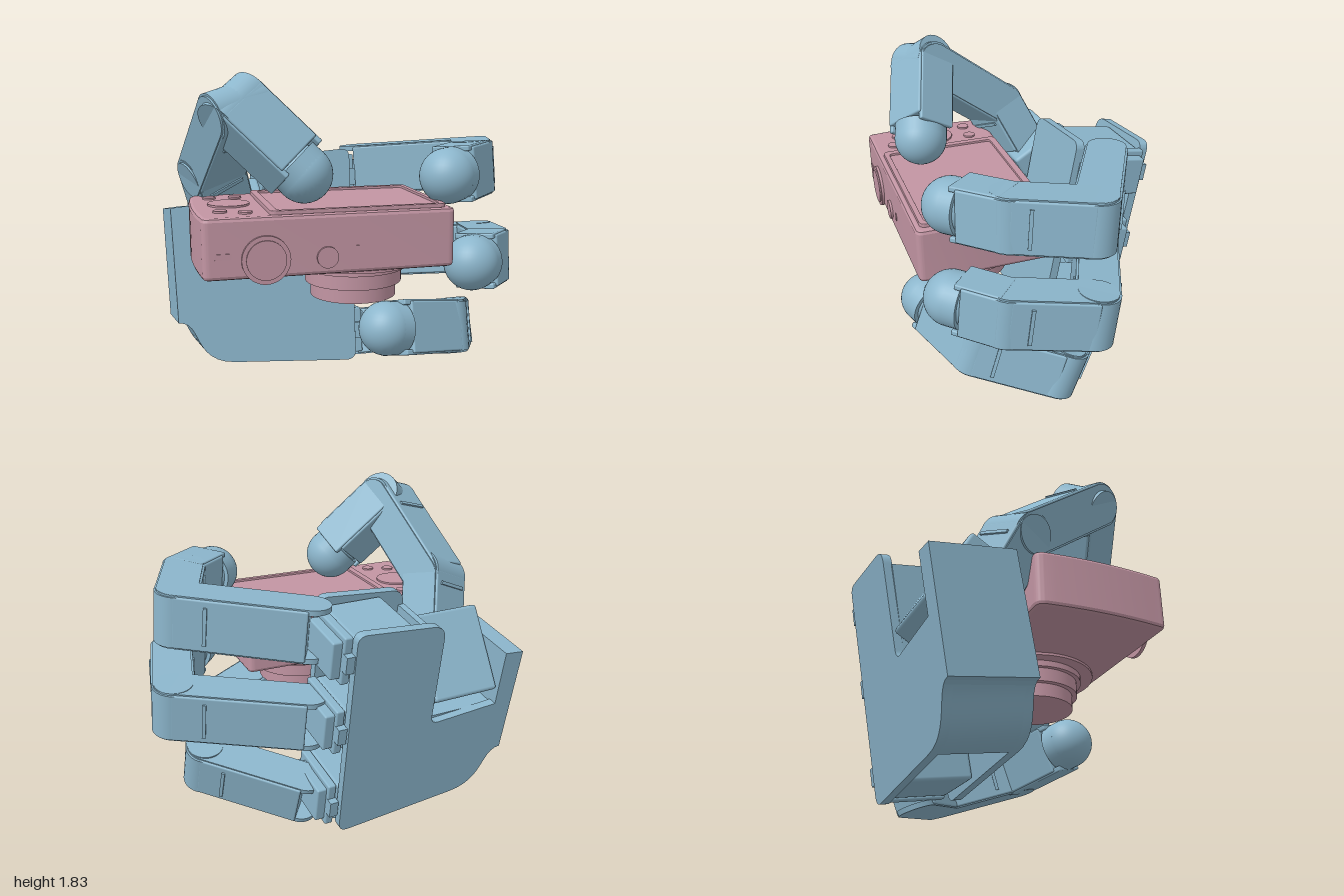
import * as THREE from 'three';
import { toCreasedNormals } from 'three/addons/utils/BufferGeometryUtils.js';
import { RoundedBoxGeometry } from 'three/addons/geometries/RoundedBoxGeometry.js';

const blue = new THREE.MeshStandardMaterial({ color: 0x8cb6cc });
const pink = new THREE.MeshStandardMaterial({ color: 0xc295a3 });
const V = (x, y, z) => new THREE.Vector3(x, y, z);

function add(parent, name, geo, mat, x = 0, y = 0, z = 0) {
  const m = new THREE.Mesh(geo, mat);
  m.name = name;
  m.position.set(x, y, z);
  parent.add(m);
  return m;
}

function extrude(shape, depth, bevel = 0) {
  const g = new THREE.ExtrudeGeometry(shape, {
    depth: depth - 2 * bevel, bevelEnabled: bevel > 0, bevelSize: bevel, bevelOffset: -bevel,
    bevelThickness: bevel, bevelSegments: 2, curveSegments: 12,
  });
  g.translate(0, 0, bevel);
  return toCreasedNormals(g, 0.3);
}

// Bar with round ends from (0,0) to (len,0)
function stadium(len, r) {
  const s = new THREE.Shape();
  s.absarc(len, 0, r, -Math.PI / 2, Math.PI / 2, false);
  s.absarc(0, 0, r, Math.PI / 2, Math.PI * 1.5, false);
  s.closePath();
  return s;
}

function roundRect(x0, y0, x1, y1, r) {
  const s = new THREE.Shape();
  s.absarc(x1 - r, y0 + r, r, -Math.PI / 2, 0, false);
  s.absarc(x1 - r, y1 - r, r, 0, Math.PI / 2, false);
  s.absarc(x0 + r, y1 - r, r, Math.PI / 2, Math.PI, false);
  s.absarc(x0 + r, y0 + r, r, Math.PI, Math.PI * 1.5, false);
  s.closePath();
  return s;
}

// Frame at a: x runs towards b, z follows the hinge axis
function frame(parent, name, a, b, axis) {
  const g = new THREE.Group();
  g.name = name;
  const x = b.clone().sub(a).normalize();
  const z = axis.clone().addScaledVector(x, -axis.dot(x)).normalize();
  g.quaternion.setFromRotationMatrix(new THREE.Matrix4().makeBasis(x, z.clone().cross(x), z));
  g.position.copy(a);
  parent.add(g);
  return g;
}

// Box core, hinge drum and round-ended side plates
function link(parent, name, a, b, axis, w, t) {
  const g = frame(parent, name, a, b, axis), L = a.distanceTo(b);
  add(g, 'core', new RoundedBoxGeometry(L, t, w * 0.95, 2, 0.01), blue, L / 2);
  add(g, 'hingeDrum', new THREE.CylinderGeometry(t * 0.5, t * 0.5, w * 0.93, 32), blue, L).rotation.x = Math.PI / 2;
  for (const s of [-1, 1])
    add(g, 'sidePlate', extrude(stadium(L, t * 0.45), 0.03), blue, 0, 0, s * (w / 2 - 0.015) - 0.015);
  add(g, 'coverRib', new THREE.BoxGeometry(0.02, t + 0.02, w * 0.7), blue, L * 0.75);
}

// Last link: forked socket and domed pad
function tip(parent, name, a, b, axis, w, t, r) {
  const g = frame(parent, name, a, b, axis), L = a.distanceTo(b), len = Math.max(L - 0.09, 0.12);
  add(g, 'hingeDrum', new THREE.CylinderGeometry(t * 0.5, t * 0.5, w * 0.93, 32), blue).rotation.x = Math.PI / 2;
  add(g, 'socket', new RoundedBoxGeometry(len, t, w * 0.95, 2, 0.01), blue, len / 2);
  for (const s of [-1, 1])
    add(g, 'forkPlate', new RoundedBoxGeometry(len + 0.04, t * 0.9, 0.03, 2, 0.008), blue, len / 2 + 0.02, 0, s * (w / 2 - 0.013));
  add(g, 'padNeck', new THREE.CylinderGeometry(r, r, 0.08, 36), blue, L - 0.04).rotation.z = Math.PI / 2;
  add(g, 'padDome', new THREE.SphereGeometry(r, 36, 24), blue, L);
}

function finger(parent, name, pts, axis, w, t, r) {
  const g = new THREE.Group();
  g.name = name;
  parent.add(g);
  const n = pts.length;
  for (let i = 0; i < n - 2; i++) link(g, 'link' + (i + 1), pts[i], pts[i + 1], axis, w, t);
  tip(g, 'fingertip', pts[n - 2], pts[n - 1], axis, w, t, r);
}

function buildPalm() {
  const g = new THREE.Group();
  g.name = 'palm';
  g.position.set(0, 0, -0.53);
  g.rotation.set(-0.169, 0.05, 0, 'YXZ');
  // Front and back plates with a notch for the thumb
  const s = new THREE.Shape();
  s.moveTo(0.03, 0);
  s.quadraticCurveTo(0.09, 0, 0.09, 0.06);
  s.lineTo(0.11, 1.25);
  s.quadraticCurveTo(0.11, 1.3, 0.06, 1.3);
  s.lineTo(-0.34, 1.27);
  s.quadraticCurveTo(-0.42, 1.26, -0.42, 1.18);
  s.lineTo(-0.43, 0.68);
  s.quadraticCurveTo(-0.43, 0.63, -0.48, 0.63);
  s.lineTo(-0.87, 0.66);
  s.lineTo(-0.87, 1.0);
  s.lineTo(-0.99, 0.99);
  s.lineTo(-0.98, 0.32);
  s.bezierCurveTo(-0.84, 0.32, -0.92, 0.08, -0.66, 0.06);
  s.closePath();
  add(g, 'backPlate', extrude(s, 0.05), blue);
  add(g, 'frontPlate', extrude(s, 0.05), blue, 0, 0, 0.42);
  // Outer wall between the plates, following the heel curve
  const wall = new THREE.Shape();
  wall.moveTo(-0.87, 1.0);
  wall.lineTo(-0.99, 0.99);
  wall.lineTo(-0.98, 0.32);
  wall.bezierCurveTo(-0.84, 0.32, -0.92, 0.08, -0.66, 0.06);
  wall.lineTo(-0.64, 0.1);
  wall.bezierCurveTo(-0.86, 0.14, -0.8, 0.36, -0.87, 0.38);
  wall.closePath();
  add(g, 'outerWall', extrude(wall, 0.38), blue, 0, 0, 0.045);
  // Notch floor and side
  add(g, 'notchFloor', new THREE.BoxGeometry(0.44, 0.04, 0.38), blue, -0.65, 0.625, 0.235);
  add(g, 'notchSide', new THREE.BoxGeometry(0.04, 0.55, 0.38), blue, -0.41, 0.9, 0.235);
  // Finger motors between the plates, with stepped knuckle mounts
  for (const y of [1.13, 0.68, 0.17]) {
    add(g, 'fingerMotor', new RoundedBoxGeometry(0.36, 0.26, 0.36, 2, 0.02), blue, -0.08, y, 0.235);
    add(g, 'knuckleMount', new RoundedBoxGeometry(0.05, 0.28, 0.36, 2, 0.01), blue, 0.13, y, 0.23);
    add(g, 'knuckleStep', new RoundedBoxGeometry(0.08, 0.22, 0.28, 2, 0.01), blue, 0.17, y, 0.21);
    add(g, 'knuckleSpine', new THREE.BoxGeometry(0.05, 0.1, 0.42), blue, 0.13, y, 0.22);
  }
  // Thumb motor leaning forward, with its pivot barrel
  add(g, 'thumbMotor', new RoundedBoxGeometry(0.42, 0.5, 0.32, 2, 0.02), blue, -0.65, 0.86, 0.28).rotation.x = 0.7;
  add(g, 'thumbBarrel', new THREE.CylinderGeometry(0.16, 0.16, 0.41, 36), blue, -0.65, 0.8, 0.33).rotation.z = Math.PI / 2;
  return g;
}

function buildCamera() {
  const g = new THREE.Group();
  g.name = 'compactCamera';
  // Body outline with slightly bowed grip end; drawn as (x, -z)
  const s = new THREE.Shape();
  s.moveTo(-0.84, -0.72);
  s.lineTo(0.38, -0.72);
  s.quadraticCurveTo(0.42, -0.72, 0.42, -0.68);
  s.lineTo(0.42, -0.01);
  s.quadraticCurveTo(0.42, 0.03, 0.38, 0.03);
  s.lineTo(-0.83, 0.03);
  s.quadraticCurveTo(-0.87, 0.03, -0.88, -0.02);
  s.quadraticCurveTo(-0.92, -0.35, -0.88, -0.68);
  s.quadraticCurveTo(-0.88, -0.72, -0.84, -0.72);
  add(g, 'cameraBody', extrude(s, 0.31, 0.02), pink, 0, 0.84, 0).rotation.x = -Math.PI / 2;
  // Screen with raised rim
  const rim = roundRect(-0.54, -0.69, 0.38, 0.01, 0.03);
  rim.holes.push(roundRect(-0.5, -0.66, 0.35, -0.03, 0.02));
  add(g, 'screenRim', extrude(rim, 0.025, 0.004), pink, 0, 1.145, 0).rotation.x = -Math.PI / 2;
  add(g, 'screen', new THREE.BoxGeometry(0.86, 0.02, 0.64), pink, -0.075, 1.147, 0.345);
  // Stepped lens
  for (const [r, y0, y1] of [[0.36, 0.825, 0.85], [0.29, 0.79, 0.83], [0.265, 0.71, 0.8], [0.235, 0.63, 0.72]])
    add(g, 'lensRing', new THREE.CylinderGeometry(r, r, y1 - y0, 56), pink, -0.025, (y0 + y1) / 2, 0.34);
  // Knobs on the front side
  for (const [x, y, r, d] of [[-0.57, 0.935, 0.122, 0.02], [-0.57, 0.935, 0.1, 0.028], [-0.26, 0.93, 0.055, 0.018]])
    add(g, 'shutterKnob', new THREE.CylinderGeometry(r, r, d, 40), pink, x, y, 0.715 + d / 2).rotation.x = Math.PI / 2;
  add(g, 'slot', new THREE.BoxGeometry(0.08, 0.03, 0.01), pink, -0.78, 0.96, 0.72);
  add(g, 'slot', new THREE.BoxGeometry(0.015, 0.045, 0.01), pink, -0.105, 0.96, 0.72);
  // Wheel and buttons beside the screen
  for (const [x, z, r] of [[-0.7, 0.33, 0.11], [-0.77, 0.55, 0.035], [-0.65, 0.6, 0.035], [-0.78, 0.12, 0.035], [-0.64, 0.12, 0.035]])
    add(g, 'button', new THREE.CylinderGeometry(r, r, 0.03, 28), pink, x, 1.145, z);
  return g;
}

export function createModel() {
  const model = new THREE.Group();
  model.name = 'robotHandWithCamera';
  model.add(buildPalm(), buildCamera());
  finger(model, 'upperFinger', [V(0.22, 1.22, -0.42), V(0.83, 1.28, -0.08), V(0.68, 1.3, 0.31), V(0.44, 1.29, 0.54)],
    V(-0.06, 1, -0.06), 0.3, 0.24, 0.15);
  finger(model, 'middleFinger', [V(0.22, 0.69, -0.38), V(0.88, 0.75, -0.08), V(0.77, 0.8, 0.36), V(0.57, 0.82, 0.59)],
    V(0, 1, -0.12), 0.3, 0.24, 0.15);
  finger(model, 'lowerFinger', [V(0.22, 0.17, -0.32), V(0.7, 0.3, 0.02), V(0.5, 0.42, 0.44), V(0.08, 0.5, 0.62)],
    V(0.03, 1, -0.34), 0.29, 0.23, 0.145);
  finger(model, 'thumb', [V(-0.67, 1.04, -0.2), V(-0.74, 1.29, -0.08), V(-0.66, 1.65, 0.39), V(-0.33, 1.32, 0.5)],
    V(0.85, 0.25, -0.35), 0.31, 0.25, 0.15);
  return model;
}
